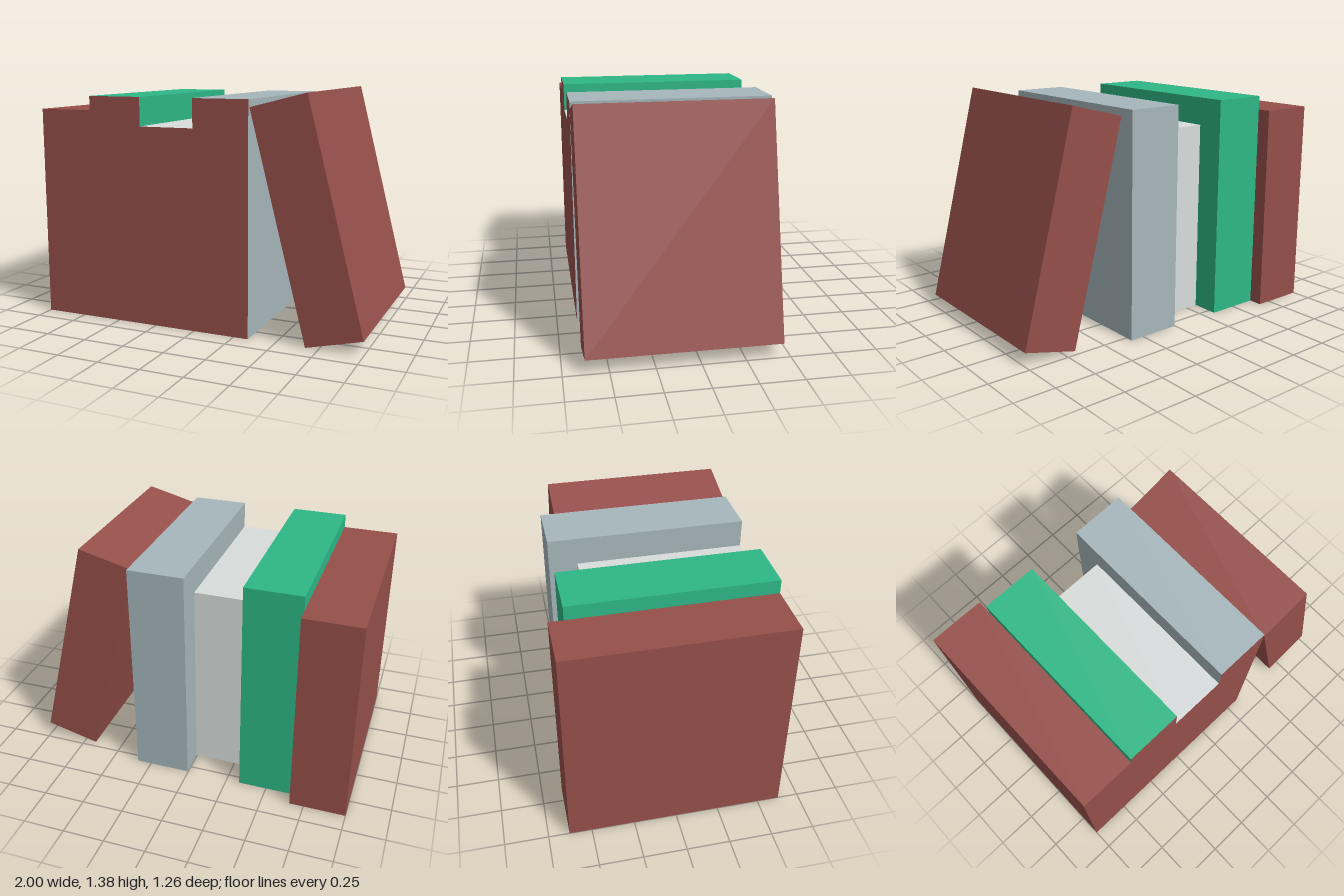
import * as THREE from 'three';

const W = 0.3345; // thickness shared by all books
const FRONT = 0.63; // spines line up on this plane

const paint = (color) => new THREE.MeshStandardMaterial({ color });
const brown = paint(0x964f4a);
const green = paint(0x2eb886);
const white = paint(0xd8dddc);
const grey = paint(0xa6b7bb);

// Book with its lower left front edge at the origin; spine and underside stay brown
function makeBook(name, height, depth, cover) {
  const geometry = new THREE.BoxGeometry(W, height, depth);
  geometry.translate(W / 2, height / 2, -depth / 2);
  // material order: +x, -x, top, bottom, front, back
  const material = cover === brown ? brown : [cover, cover, cover, brown, brown, cover];
  const book = new THREE.Mesh(geometry, material);
  book.name = name;
  return book;
}

export function createModel() {
  const model = new THREE.Group();
  model.name = 'bookRow';

  // Upright books, side by side
  const upright = [
    ['brownBook', 1.257, 1.26, brown],
    ['greenBook', 1.34, 1.177, green],
    ['whiteBook', 1.173, 1.01, white],
    ['greyBook', 1.34, 1.177, grey],
  ];
  upright.forEach(([name, height, depth, cover], i) => {
    const book = makeBook(name, height, depth, cover);
    book.position.set(-1 + i * W, 0, FRONT);
    model.add(book);
  });

  // Book leaning against the row
  const leaning = makeBook('leaningBook', 1.34, 1.09, brown);
  leaning.position.set(0.676, 0, FRONT);
  leaning.rotation.z = 0.25;
  model.add(leaning);

  return model;
}
